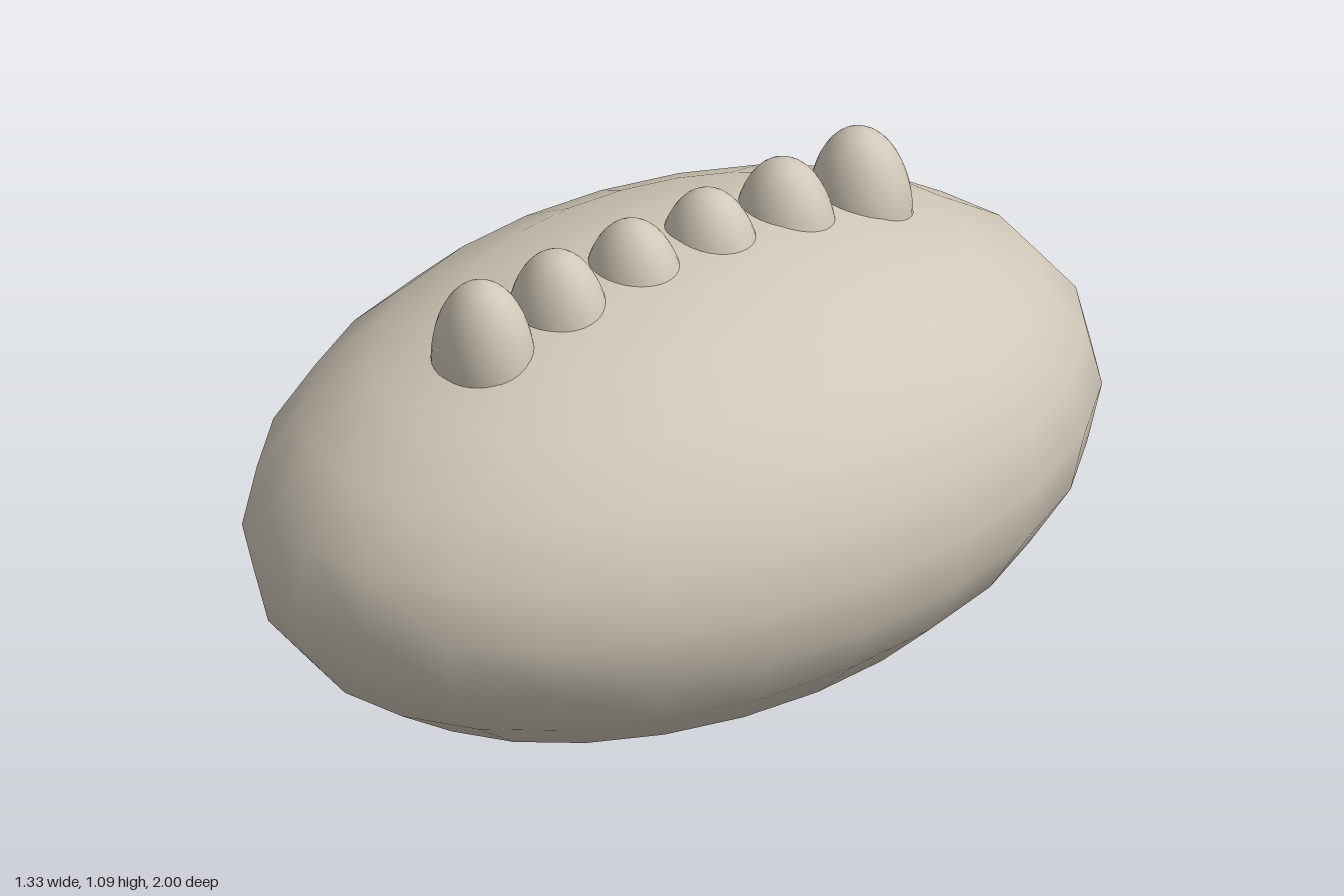
import * as THREE from 'three';

export function createModel() {
  const model = new THREE.Group();
  const stone = new THREE.MeshStandardMaterial({ color: 0xd0c8b8 });
  stone.name = 'warm stone';

  // Smooth ellipsoid with the given centre and radii
  function ellipsoid(name, centre, radii, across, down) {
    const geometry = new THREE.SphereGeometry(1, across, down);
    geometry.scale(...radii);
    const mesh = new THREE.Mesh(geometry, stone);
    mesh.name = name;
    mesh.position.set(...centre);
    model.add(mesh);
  }

  // Long egg-like body
  ellipsoid('body', [0, 0.5, 0], [0.667, 0.5, 1], 24, 12);

  // Row of knobs along the ridge, sunk into the body
  for (let i = 0; i < 6; i++) {
    ellipsoid(`ridgeKnob${i + 1}`, [0, 0.9, 0.5 - i * 0.2], [0.118, 0.185, 0.1], 32, 24);
  }
  return model;
}
